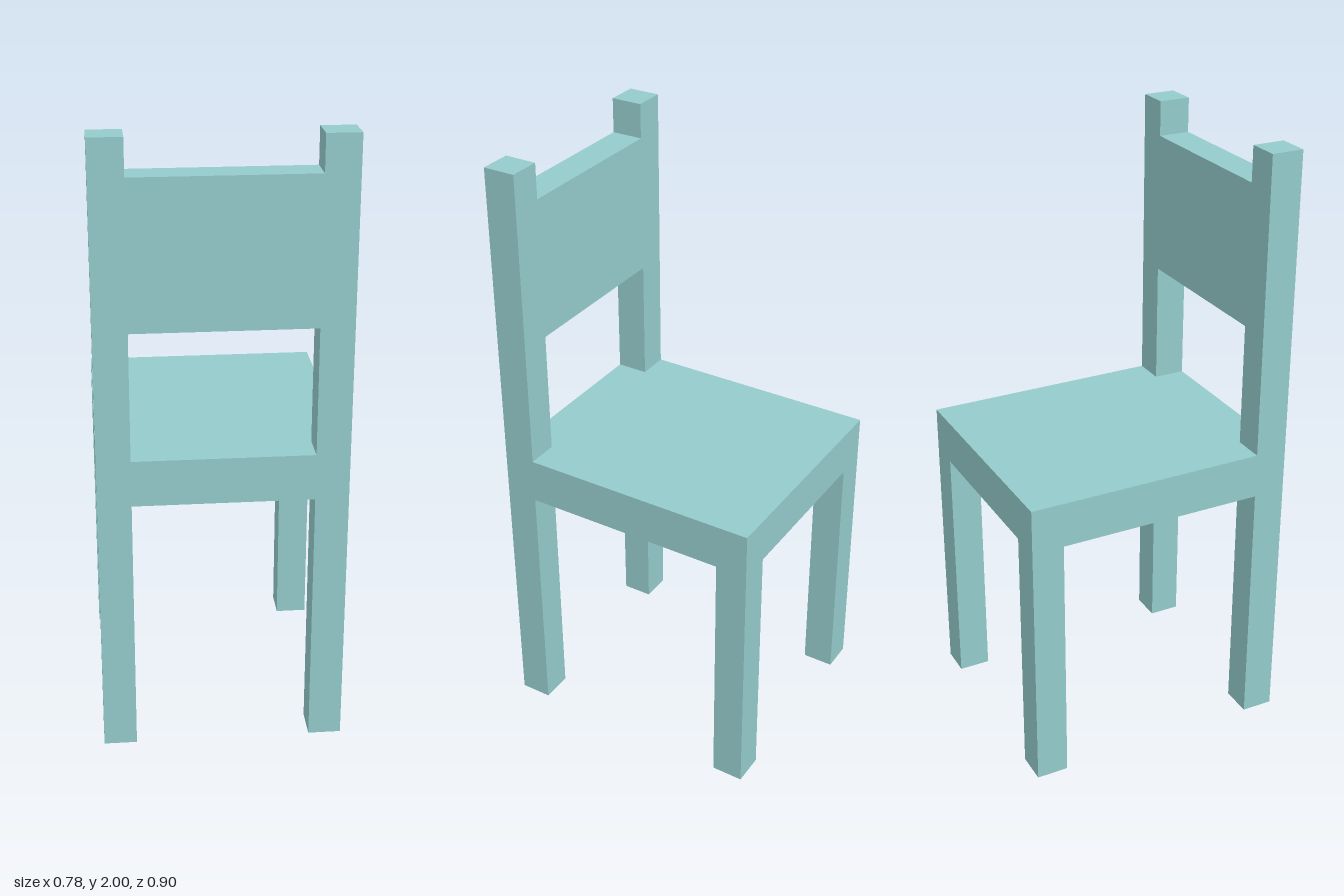
import * as THREE from 'three';

export function createModel() {
  const chair = new THREE.Group();
  chair.name = 'chair';
  const material = new THREE.MeshStandardMaterial({ color: 0x94caca, flatShading: true });

  const halfW = 0.39, halfD = 0.45;  // footprint half sizes
  const post = 0.106;                // square section of legs and posts
  const seatBottom = 0.86, seatTop = 1.01, height = 2;

  // Box given by its minimum and maximum corners
  function addBox(name, [x0, y0, z0], [x1, y1, z1]) {
    const geometry = new THREE.BoxGeometry(x1 - x0, y1 - y0, z1 - z0);
    const mesh = new THREE.Mesh(geometry, material);
    mesh.position.set((x0 + x1) / 2, (y0 + y1) / 2, (z0 + z1) / 2);
    mesh.name = name;
    chair.add(mesh);
  }

  // Seat slab
  addBox('seat', [-halfW, seatBottom, -halfD], [halfW, seatTop, halfD]);

  // Short legs at -z; legs at +z, continued above the seat as back posts
  for (const [side, x] of [['right', -halfW], ['left', halfW - post]]) {
    addBox(`${side}SeatLeg`, [x, 0, -halfD], [x + post, seatBottom, post - halfD]);
    addBox(`${side}BackLeg`, [x, 0, halfD - post], [x + post, seatBottom, halfD]);
    addBox(`${side}BackPost`, [x, seatTop, halfD - post], [x + post, height, halfD]);
  }

  // Broad back panel, flush with the posts
  addBox('backPanel', [post - halfW, 1.42, halfD - post], [halfW - post, 1.885, halfD]);

  return chair;
}
